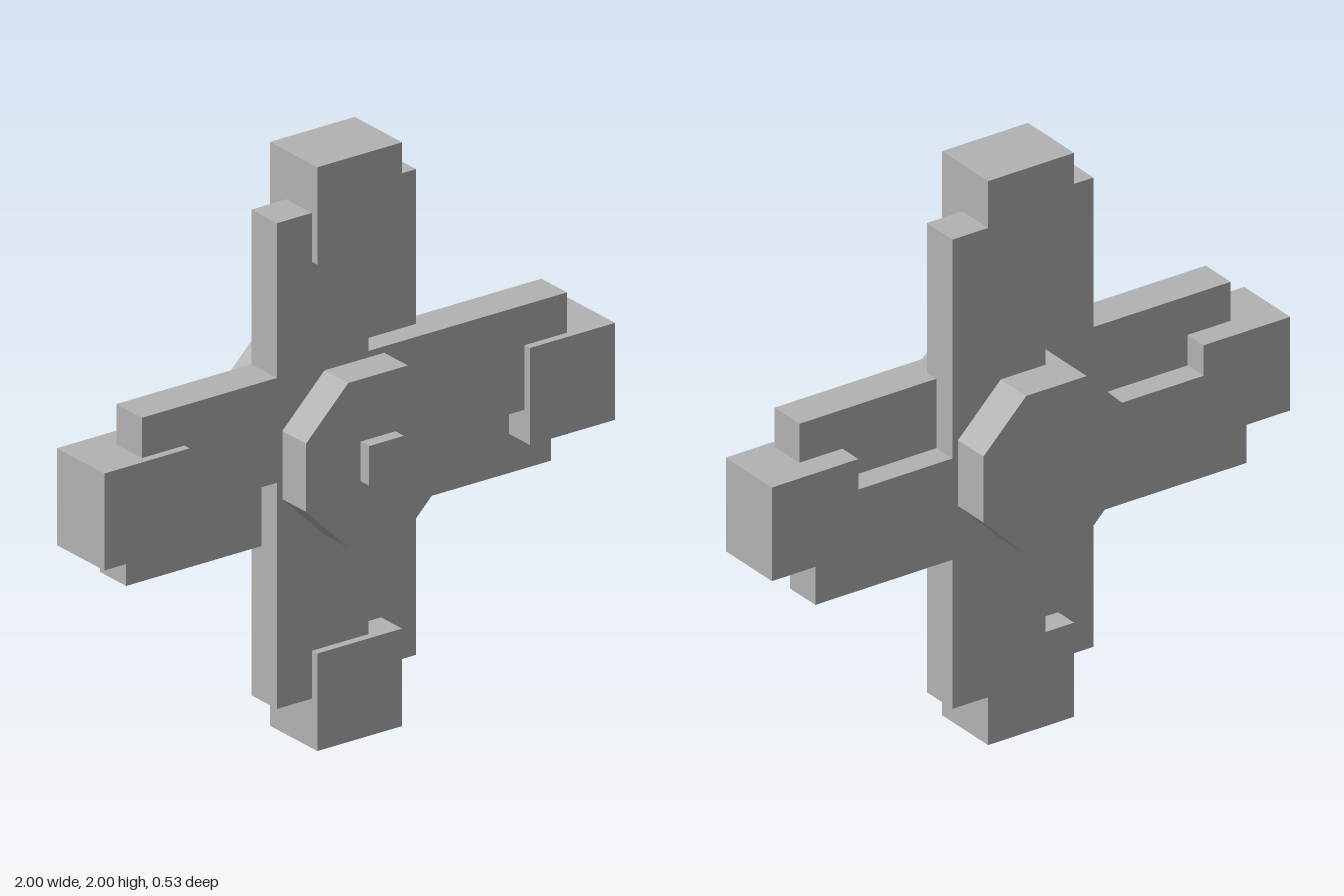
import * as THREE from 'three';

export function createModel() {
  const model = new THREE.Group();
  model.name = 'crossWithHub';

  const grey = new THREE.MeshStandardMaterial({ color: 0xb3b3b3 });
  grey.name = 'plain grey';

  const add = (name, geometry, x, y, z) => {
    const mesh = new THREE.Mesh(geometry, grey);
    mesh.name = name;
    mesh.position.set(x, y, z);
    model.add(mesh);
  };

  // Box given by its lower and upper limits on each axis
  const block = (name, [x0, x1], [y0, y1], [z0, z1]) =>
    add(name, new THREE.BoxGeometry(x1 - x0, y1 - y0, z1 - z0),
      (x0 + x1) / 2, (y0 + y1) / 2, (z0 + z1) / 2);

  const front = [-0.04, 0.095];
  const back = [-0.127, 0.012];
  const deep = [-0.127, 0.123];
  const long = [-0.832, 0.832];
  const tall = [0.17, 1.834];

  // Overlapping, staggered boards of the upright and the crossbar
  block('uprightFrontBoard', [-0.303, 0.055], tall, front);
  block('uprightBackBoard', [-0.055, 0.303], tall, back);
  block('crossbarFrontBoard', long, [0.945, 1.304], front);
  block('crossbarBackBoard', long, [0.699, 1.058], back);

  // End blocks on the four arms
  const half = 0.166;
  for (const s of [-1, 1]) {
    const end = s < 0 ? [-1, -0.666] : [0.666, 1];
    block(s < 0 ? 'rightEndBlock' : 'leftEndBlock', end, [1 - half, 1 + half], deep);
    block(s < 0 ? 'bottomEndBlock' : 'topEndBlock', [-half, half], end.map((v) => v + 1), deep);
  }

  // Octagonal hub through the centre
  const radius = 0.282 / Math.cos(Math.PI / 8);
  const hub = new THREE.CylinderGeometry(radius, radius, 0.485, 8).toNonIndexed();
  hub.rotateY(Math.PI / 8);
  hub.rotateX(Math.PI / 2);
  hub.computeVertexNormals();
  add('hub', hub, 0, 1, -0.0225);

  // Square knob on the hub
  block('knob', [-0.068, 0.068], [0.933, 1.069], [0.2, 0.265]);

  return model;
}
